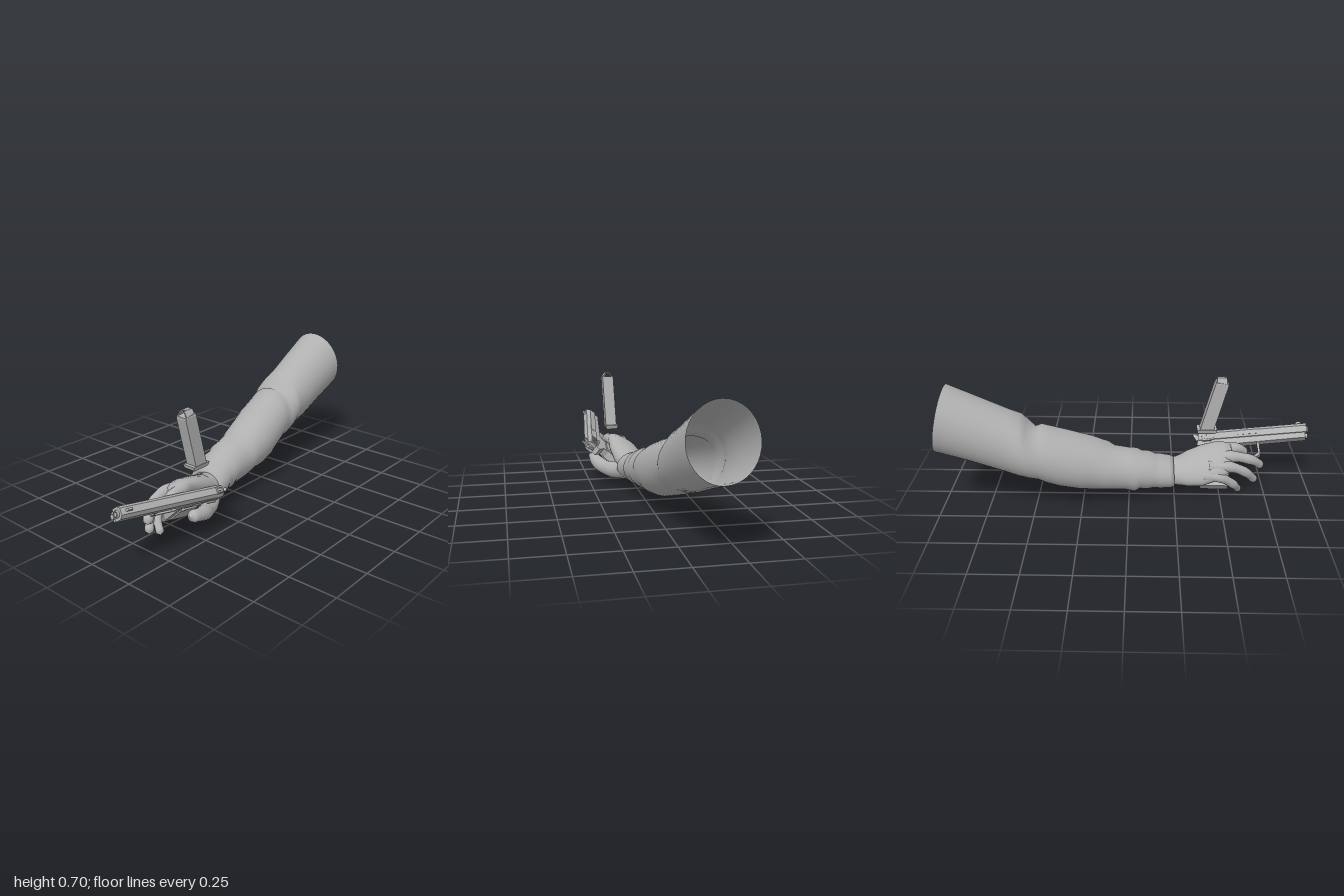
import * as THREE from 'three';

const gray = new THREE.MeshStandardMaterial({ color: 0xb0b0b0 });
gray.name = 'plain gray';
const grayOpen = gray.clone();
grayOpen.side = THREE.DoubleSide;
const V = (x, y, z) => new THREE.Vector3(x, y, z);

function add(parent, name, geometry, x = 0, y = 0, z = 0, material = gray) {
  const mesh = new THREE.Mesh(geometry, material);
  mesh.name = name;
  mesh.position.set(x, y, z);
  parent.add(mesh);
  return mesh;
}
const box = (w, h, d) => new THREE.BoxGeometry(w, h, d);

// Smooth skin through closed rings of equal point count
function loft(rings) {
  const n = rings[0].length, index = [];
  for (let i = 0; i < rings.length - 1; i++) {
    for (let j = 0; j < n; j++) {
      const a = i * n + j, b = i * n + (j + 1) % n;
      index.push(a, b, b + n, a, b + n, a + n);
    }
  }
  const g = new THREE.BufferGeometry().setFromPoints(rings.flat());
  g.setIndex(index);
  g.computeVertexNormals();
  return g;
}

function ring(n, fn) {
  return Array.from({ length: n }, (_, j) => fn((j / n) * Math.PI * 2));
}

// Rounded, tapering limb along a curve
function digit(points, r0, r1) {
  const curve = new THREE.CatmullRomCurve3(points.map(p => V(...p)));
  const steps = 24, f = curve.computeFrenetFrames(steps), L = curve.getLength();
  const rings = [];
  for (let i = 0; i <= steps; i++) {
    const t = i / steps, left = (1 - t) * L;
    let r = r0 + (r1 - r0) * t + 0.0015 * Math.cos(t * 19);
    if (left < r1) r *= Math.sqrt(Math.max(0, 1 - (1 - left / r1) ** 2));
    const p = curve.getPointAt(t);
    rings.push(ring(16, a => p.clone()
      .addScaledVector(f.normals[i], Math.cos(a) * r)
      .addScaledVector(f.binormals[i], Math.sin(a) * r)));
  }
  return loft(rings);
}

// Side profile given as (z, y) pairs, extruded across x
function side(points, width, hole) {
  const s = new THREE.Shape(points.map(p => new THREE.Vector2(...p)));
  if (hole) s.holes.push(new THREE.Path(hole.map(p => new THREE.Vector2(...p))));
  return new THREE.ExtrudeGeometry(s, { depth: width, bevelEnabled: false })
    .translate(0, 0, -width / 2).rotateY(-Math.PI / 2);
}

function makeSleeve() {
  // zTop, yTop, zBottom, yBottom, xRight, xLeft
  const sections = [
    [-0.93, 0.71, -1.0, 0.355, -0.3, 0.028],
    [-0.75, 0.625, -0.82, 0.295, -0.282, 0.033],
    [-0.62, 0.563, -0.66, 0.235, -0.268, 0.037],
    [-0.56, 0.537, -0.57, 0.208, -0.272, 0.04],
    [-0.53, 0.505, -0.52, 0.195, -0.275, 0.045],
    [-0.495, 0.465, -0.47, 0.18, -0.258, 0.042],
    [-0.46, 0.473, -0.42, 0.16, -0.256, 0.045],
    [-0.41, 0.458, -0.36, 0.135, -0.245, 0.056],
    [-0.3, 0.422, -0.25, 0.1, -0.222, 0.078],
    [-0.2, 0.382, -0.19, 0.095, -0.2, 0.09],
    [-0.11, 0.345, -0.12, 0.09, -0.182, 0.09],
    [-0.08, 0.325, -0.08, 0.083, -0.17, 0.086],
    [0.0, 0.305, -0.02, 0.078, -0.155, 0.09],
    [0.04, 0.3, 0.03, 0.07, -0.155, 0.094],
    [0.07, 0.283, 0.06, 0.08, -0.138, 0.092],
    [0.11, 0.277, 0.1, 0.071, -0.132, 0.104],
    [0.14, 0.257, 0.13, 0.079, -0.118, 0.1],
    [0.17, 0.25, 0.17, 0.07, -0.112, 0.115],
    [0.22, 0.236, 0.23, 0.068, -0.098, 0.122],
    [0.242, 0.225, 0.25, 0.075, -0.088, 0.117],
    [0.235, 0.208, 0.24, 0.09, -0.07, 0.1],
  ];
  const rings = sections.map(([zt, yt, zb, yb, xr, xl], i) => ring(36, a => {
    const c = Math.cos(a), s = Math.sin(a);
    // shallow slanting cloth folds
    const k = i > 2 && i < 17 ? 1 + 0.018 * Math.sin(2 * a + i * 1.9) : 1;
    return V((xl + xr) / 2 + (xl - xr) / 2 * c * k,
      (yt + yb) / 2 + (yt - yb) / 2 * s * k, (zt + zb) / 2 + (zt - zb) / 2 * s);
  }));
  return loft(rings);
}

function makeHand() {
  const hand = new THREE.Group();
  hand.name = 'hand';
  // Palm: tilted ovals: z, x, y, half width, half thickness, tilt
  const palm = [
    [0.18, 0.015, 0.15, 0.08, 0.06, 0.2], [0.26, 0.025, 0.15, 0.088, 0.066, 0.4],
    [0.32, 0.028, 0.163, 0.108, 0.066, 0.55], [0.4, 0.03, 0.182, 0.123, 0.062, 0.62],
    [0.47, 0.033, 0.203, 0.118, 0.052, 0.64], [0.52, 0.04, 0.215, 0.105, 0.042, 0.64],
    [0.56, 0.05, 0.222, 0.08, 0.026, 0.64], [0.57, 0.05, 0.222, 0.001, 0.001, 0.64],
  ];
  add(hand, 'palm', loft(palm.map(([z, x, y, w, h, t]) => ring(28, a => {
    const c = Math.cos(a) * w, s = Math.sin(a) * h;
    return V(x + c * Math.cos(t) - s * Math.sin(t), y + c * Math.sin(t) + s * Math.cos(t), z);
  }))));
  add(hand, 'littleFinger', digit([[-0.045, 0.155, 0.4], [-0.04, 0.142, 0.5],
    [-0.012, 0.088, 0.57], [0.052, 0.018, 0.612]], 0.03, 0.02));
  add(hand, 'ringFinger', digit([[-0.015, 0.195, 0.43], [-0.004, 0.188, 0.56],
    [0.022, 0.14, 0.645], [0.07, 0.068, 0.703]], 0.033, 0.022));
  add(hand, 'middleFinger', digit([[0.04, 0.225, 0.45], [0.04, 0.23, 0.58],
    [0.063, 0.195, 0.685], [0.1, 0.143, 0.738]], 0.034, 0.024));
  add(hand, 'indexFinger', digit([[0.09, 0.235, 0.43], [0.11, 0.25, 0.53],
    [0.122, 0.238, 0.61], [0.145, 0.2, 0.652]], 0.036, 0.024));
  add(hand, 'thumb', digit([[0.05, 0.13, 0.24], [0.115, 0.112, 0.32],
    [0.165, 0.11, 0.4], [0.207, 0.135, 0.48], [0.212, 0.156, 0.57]], 0.056, 0.03));
  return hand;
}

function makePistol() {
  const gun = new THREE.Group();
  gun.name = 'pistol';
  // Slide with chamfered top and open muzzle
  const s = new THREE.Shape([[-0.03, -0.026], [0.03, -0.026], [0.03, 0.012], [0.016, 0.032],
    [-0.016, 0.032], [-0.03, 0.012]].map(p => new THREE.Vector2(...p)));
  s.holes.push(new THREE.Path().absarc(0, 0, 0.018, 0, Math.PI * 2, true));
  add(gun, 'slide', new THREE.ExtrudeGeometry(s, { depth: 0.6, bevelEnabled: false, curveSegments: 16 }), 0, 0, -0.605);
  const tube = [[0.01, -0.3], [0.018, -0.3], [0.018, 0], [0.016, 0.004], [0.01, 0.004], [0.01, -0.3]];
  add(gun, 'barrel', new THREE.LatheGeometry(tube.map(p => new THREE.Vector2(...p)), 20).rotateX(Math.PI / 2), 0, 0, 0, grayOpen);
  add(gun, 'boreEnd', new THREE.CircleGeometry(0.012, 16), 0, 0, -0.1);
  add(gun, 'slideBack', box(0.05, 0.045, 0.01), 0, 0, -0.605);
  add(gun, 'springPlug', new THREE.CylinderGeometry(0.013, 0.013, 0.02, 16).rotateX(Math.PI / 2), 0, -0.04, -0.012);
  // Frame and raked grip
  add(gun, 'frame', side([[-0.015, -0.024], [-0.61, -0.024], [-0.62, -0.05], [-0.55, -0.085],
    [-0.545, -0.12], [-0.6, -0.285], [-0.465, -0.3], [-0.41, -0.085], [-0.38, -0.062],
    [-0.25, -0.06], [-0.015, -0.057]], 0.046));
  for (const m of [-1, 1]) {
    add(gun, 'gripPanel', side([[-0.53, -0.105], [-0.582, -0.275], [-0.485, -0.282], [-0.43, -0.1]], 0.01), m * 0.026);
    for (let i = 0; i < 7; i++) add(gun, 'serration', box(0.004, 0.034, 0.005), m * 0.031, -0.008, -0.59 + i * 0.013);
    add(gun, 'safetyLever', box(0.014, 0.012, 0.05), m * 0.033, -0.03, -0.56);
    add(gun, 'rearSightPost', box(0.01, 0.016, 0.018), m * 0.011, 0.044, -0.575);
  }
  add(gun, 'gripBase', side([[-0.612, -0.283], [-0.614, -0.3], [-0.46, -0.314], [-0.457, -0.298]], 0.052));
  // Squared trigger guard and trigger
  add(gun, 'triggerGuard', side([[-0.27, -0.055], [-0.425, -0.055], [-0.43, -0.14], [-0.4, -0.15],
    [-0.29, -0.148], [-0.268, -0.135]], 0.034, [[-0.285, -0.06], [-0.28, -0.125], [-0.3, -0.137],
    [-0.4, -0.138], [-0.415, -0.125], [-0.41, -0.06]]));
  add(gun, 'trigger', side([[-0.375, -0.055], [-0.395, -0.055], [-0.38, -0.12], [-0.367, -0.12]], 0.014));
  // Sights, hammer and small controls
  add(gun, 'frontSight', side([[-0.03, 0.03], [-0.035, 0.05], [-0.055, 0.05], [-0.07, 0.03]], 0.01));
  add(gun, 'rearSight', box(0.034, 0.014, 0.028), 0, 0.034, -0.575);
  add(gun, 'hammer', side([[-0.605, -0.02], [-0.605, 0.008], [-0.63, 0.026], [-0.642, 0.016], [-0.622, -0.02]], 0.016));
  add(gun, 'slideStop', box(0.012, 0.012, 0.085), 0.028, -0.035, -0.4);
  add(gun, 'magazineCatch', new THREE.CylinderGeometry(0.01, 0.01, 0.016, 12).rotateZ(Math.PI / 2), 0.028, -0.09, -0.43);
  add(gun, 'ejectionPort', box(0.008, 0.026, 0.11), -0.028, 0, -0.33);
  // Aim forward, rolled towards the palm
  const d = V(-0.105, 0.153, 0.983).normalize(), u = V(0.78, 0.62, -0.013);
  const x = u.clone().cross(d).normalize();
  gun.quaternion.setFromRotationMatrix(new THREE.Matrix4().makeBasis(x, d.clone().cross(x), d));
  gun.position.set(0.185, 0.33, 0.992);
  return gun;
}

function makeMagazine() {
  const mag = new THREE.Group();
  mag.name = 'magazine';
  // Leaning case
  const body = side([[0.46, 0.355], [0.528, 0.615], [0.53, 0.63], [0.462, 0.64], [0.385, 0.355]].reverse(), 0.062);
  const p = body.attributes.position;
  for (let i = 0; i < p.count; i++) p.setX(i, p.getX(i) + 0.127 + (p.getY(i) - 0.355) * 0.02);
  add(mag, 'magazineCase', body);
  // Inward leaning feed lips
  for (const m of [-1, 1]) {
    const lip = add(mag, 'feedLip', box(0.006, 0.036, 0.055), 0.133 + m * 0.02, 0.643, 0.495);
    lip.rotation.z = m * 0.55;
  }
  add(mag, 'lipBridge', box(0.022, 0.005, 0.04), 0.133, 0.657, 0.49);
  // Flared foot
  const foot = [[0.339, 0.028, 0.043], [0.346, 0.033, 0.05], [0.364, 0.037, 0.055]];
  const footRings = foot.map(([y, w, h]) => [[1, 1], [1, -1], [-1, -1], [-1, 1]]
    .map(([a, b]) => V(0.125 + a * w, y, 0.425 + b * h)));
  const flat = y => ring(4, () => V(0.125, y, 0.425));
  const g = loft([flat(0.339), ...footRings, flat(0.364)].map(r => r.slice().reverse())).toNonIndexed();
  g.computeVertexNormals();
  add(mag, 'magazineFoot', g, 0, 0, 0, grayOpen);
  return mag;
}

export function createModel() {
  const model = new THREE.Group();
  model.name = 'armWithPistol';
  add(model, 'sleeve', makeSleeve(), 0, 0, 0, grayOpen);
  model.add(makeHand(), makePistol(), makeMagazine());
  return model;
}
